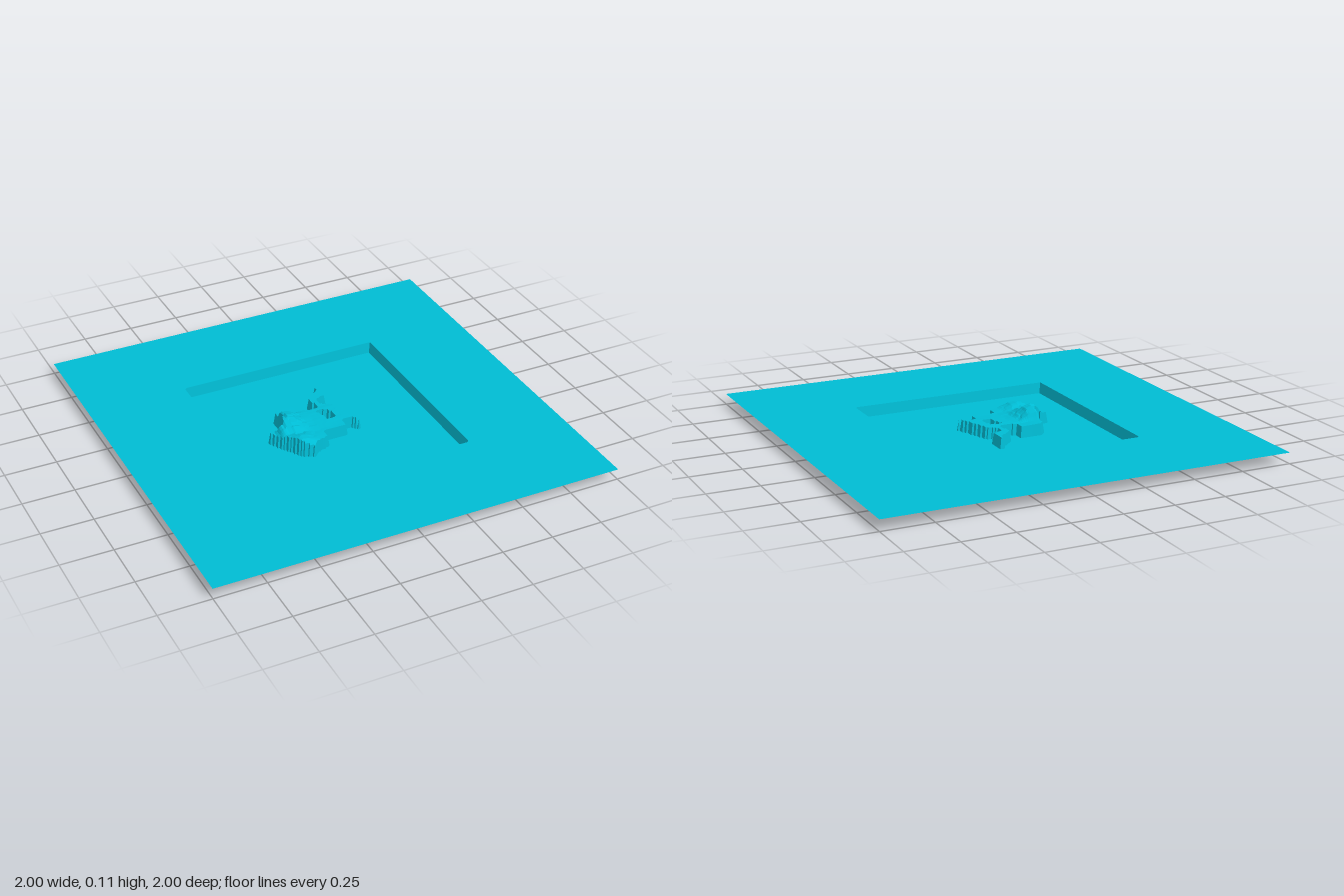
import * as THREE from 'three';

const TOP = 0.053;   // height of the surrounding plate
const HALF = 0.505;  // half width of the recess
const CELLS = 101;   // terrain cells of 0.01

const COAST = [
  [0.055, -0.235], [0.078, -0.235], [0.078, -0.15], [0.03, -0.14], [0.03, -0.1], [0.075, -0.07],
  [0.1, 0], [0.12, 0.06], [0.14, 0.11], [0.11, 0.085], [0.065, 0.08], [0.06, 0.13], [-0.055, 0.13],
  [-0.065, 0.18], [-0.12, 0.2], [-0.155, 0.225], [-0.21, 0.2], [-0.235, 0.15], [-0.27, 0.1],
  [-0.3, 0.04], [-0.31, 0.025], [-0.235, 0.04], [-0.215, -0.01], [-0.215, -0.1], [-0.19, -0.125],
  [-0.085, -0.125], [-0.085, -0.08], [0, -0.065], [-0.01, -0.15], [0.02, -0.19], [0.055, -0.21],
];
const LAGOON = [[-0.02, -0.045], [0.03, -0.03], [0.045, 0.04], [0, 0.045], [-0.005, 0]];

// Mountain profiles across x and z, as fractions of the summit
const ACROSS_X = [[-0.27, 0], [-0.25, 0.8], [-0.2, 1], [-0.16, 0.8], [-0.14, 0.5], [-0.11, 0.15], [-0.07, 0.06], [0.1, 0.04]];
const ACROSS_Z = [[-0.07, 0.05], [-0.06, 0.7], [0, 1], [0.04, 0.88], [0.075, 0.6], [0.11, 0.28], [0.15, 0.5], [0.19, 0.5], [0.22, 0]];

function inside(poly, x, z) {
  let hit = false;
  poly.forEach(([ax, az], i) => {
    const [bx, bz] = poly[(i + 1) % poly.length];
    if ((az > z) !== (bz > z) && x < ax + ((z - az) * (bx - ax)) / (bz - az)) hit = !hit;
  });
  return hit;
}

function profile(points, t) {
  if (t <= points[0][0]) return points[0][1];
  for (let i = 1; i < points.length; i++) {
    const [a, va] = points[i - 1], [b, vb] = points[i];
    if (t <= b) return va + ((vb - va) * (t - a)) / (b - a);
  }
  return points[points.length - 1][1];
}

// Repeatable value from 0 to 1 for each block of rock
function rock(x, z, size) {
  const s = Math.sin(Math.round(x / size) * 12.99 + Math.round(z / size) * 78.23) * 43758.55;
  return s - Math.floor(s);
}

function height(x, z) {
  if (Math.max(Math.abs(x), Math.abs(z)) > HALF - 0.005) return TOP; // rim
  if (!inside(COAST, x, z) || inside(LAGOON, x, z)) return 0;
  const rough = 0.72 + 0.28 * rock(x, z, 0.03);
  return TOP + 0.063 * profile(ACROSS_X, x) * profile(ACROSS_Z, z) * rough;
}

export function createModel() {
  const group = new THREE.Group();
  const material = new THREE.MeshStandardMaterial({ color: 0x00bcd4, flatShading: true, side: THREE.DoubleSide });

  // Thin flat plate with a square opening
  const square = (r) => [[-r, -r], [r, -r], [r, r], [-r, r]].map(([x, y]) => new THREE.Vector2(x, y));
  const shape = new THREE.Shape(square(1));
  shape.holes.push(new THREE.Path(square(HALF)));
  const plate = new THREE.Mesh(new THREE.ShapeGeometry(shape).rotateX(-Math.PI / 2), material);
  plate.position.y = TOP;
  plate.name = 'surroundingPlate';
  group.add(plate);

  // Sunken floor with its steep rim and the island, as one height field
  const terrain = new THREE.PlaneGeometry(2 * HALF, 2 * HALF, CELLS, CELLS).rotateX(-Math.PI / 2);
  const p = terrain.attributes.position;
  for (let i = 0; i < p.count; i++) p.setY(i, height(p.getX(i), p.getZ(i)));
  terrain.computeVertexNormals();
  const island = new THREE.Mesh(terrain, material);
  island.name = 'recessAndIsland';
  group.add(island);

  return group;
}
